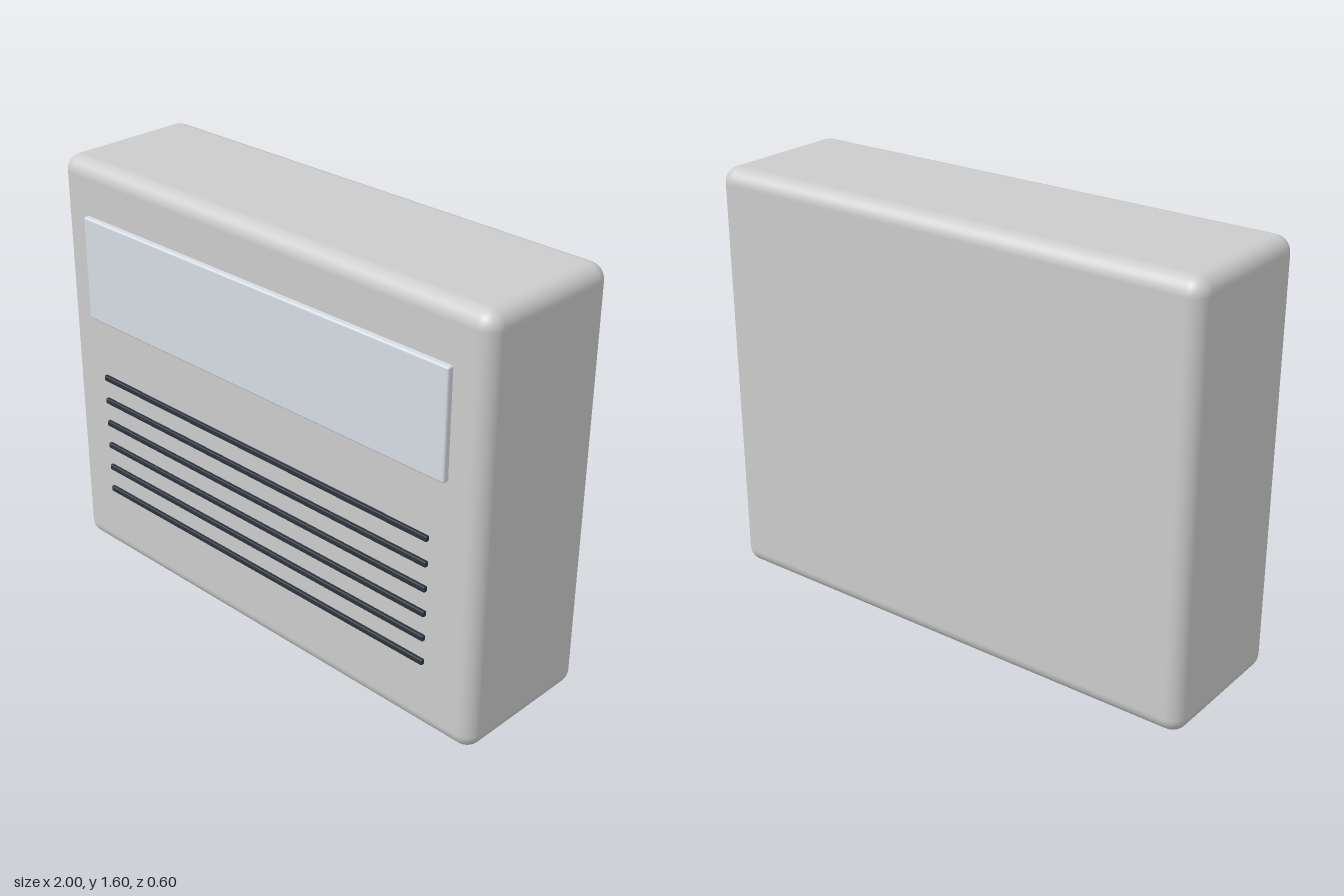
import * as THREE from 'three';
import { RoundedBoxGeometry } from 'three/addons/geometries/RoundedBoxGeometry.js';

export function createModel() {
  const group = new THREE.Group();
  const grey = new THREE.MeshStandardMaterial({ color: 0xcccccc });
  const paleBlue = new THREE.MeshStandardMaterial({ color: 0xd7dce3 });
  const dark = new THREE.MeshStandardMaterial({ color: 0x2b333d });

  // Rounded box centred on (0, y, z)
  const addBox = (name, [w, h, d], radius, y, z, material, segments = 3) => {
    const mesh = new THREE.Mesh(new RoundedBoxGeometry(w, h, d, segments, radius), material);
    mesh.name = name;
    mesh.position.set(0, y, z);
    group.add(mesh);
  };

  // Casing with soft edges
  addBox('casing', [2, 1.6, 0.58], 0.06, 0.8, -0.01, grey, 6);

  // Raised panel on the upper front
  addBox('frontPanel', [1.72, 0.4, 0.04], 0.008, 1.2, 0.282, paleBlue);

  // Six thin vent slats, standing just clear of the casing
  for (let i = 0; i < 6; i++) {
    addBox('ventSlat' + (i + 1), [1.6, 0.022, 0.016], 0.005, 0.29 + i * 0.0963, 0.294, dark);
  }
  return group;
}
